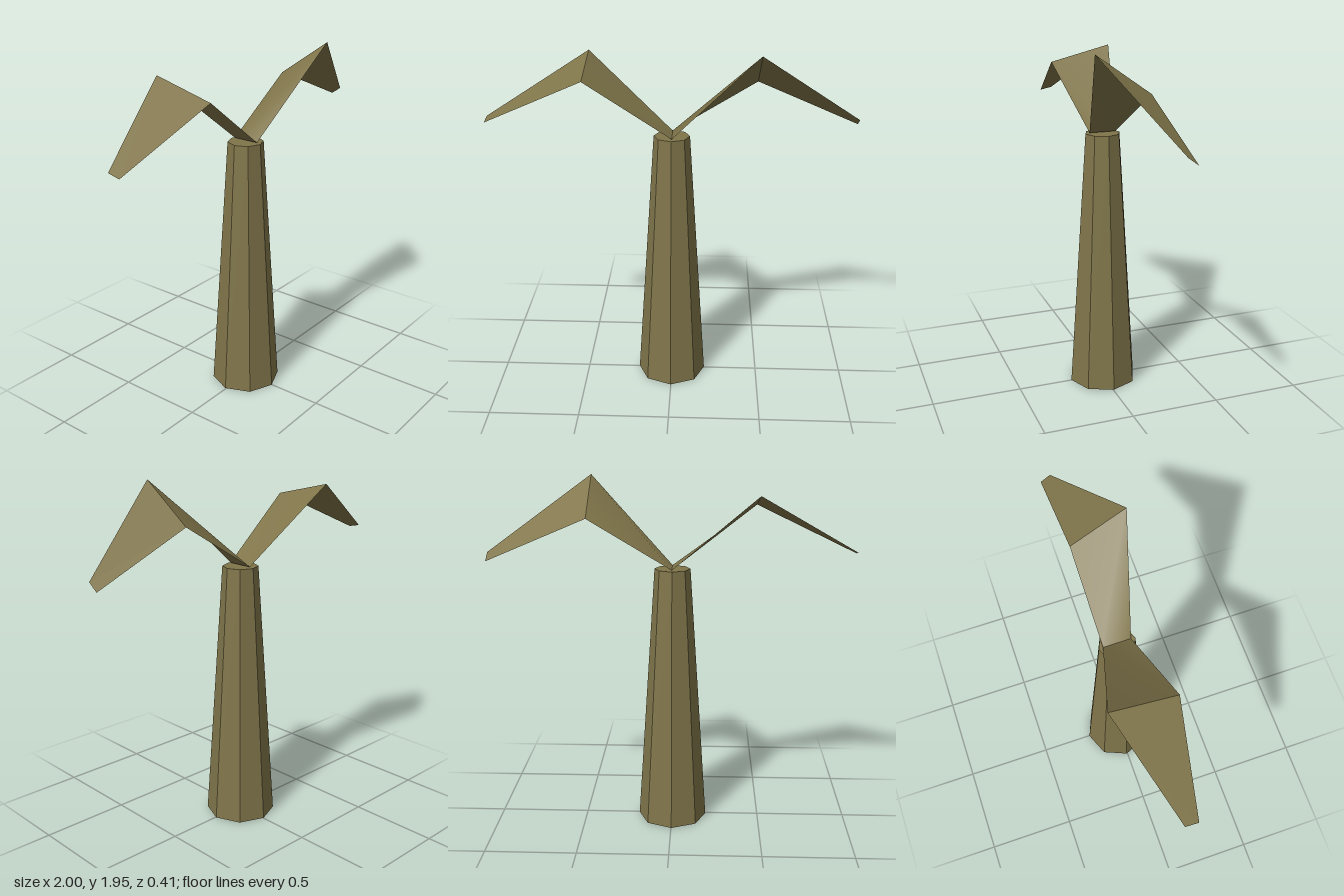
import * as THREE from 'three';

const olive = new THREE.MeshStandardMaterial({ color: 0x80754a, side: THREE.DoubleSide });
olive.name = 'olive brown';
const bark = new THREE.MeshStandardMaterial({ color: 0x80754a, flatShading: true });
bark.name = 'olive bark';

// Frond: a bent sheet given as [back corner, front corner] at base, bend and tip
function frond(name, sections) {
  const positions = [], index = [];
  for (let i = 0; i < sections.length - 1; i++) {
    const [a, b] = sections[i], [c, d] = sections[i + 1], n = i * 4;
    positions.push(...a, ...b, ...d, ...c); // own corners per panel keep the bend sharp
    // wind so the panel faces up on either side of the trunk
    if (d[0] > a[0]) index.push(n, n + 1, n + 2, n, n + 2, n + 3);
    else index.push(n, n + 2, n + 1, n, n + 3, n + 2);
  }
  const geo = new THREE.BufferGeometry();
  geo.setAttribute('position', new THREE.Float32BufferAttribute(positions, 3));
  geo.setIndex(index);
  geo.computeVertexNormals();
  const mesh = new THREE.Mesh(geo, olive);
  mesh.name = name;
  return mesh;
}

export function createModel() {
  const group = new THREE.Group();
  group.name = 'palm';

  // Tapered eight-sided trunk
  const trunk = new THREE.Mesh(new THREE.CylinderGeometry(0.098, 0.194, 1.465, 8), bark);
  trunk.name = 'trunk';
  trunk.position.set(-0.002, 1.465 / 2, -0.005);
  group.add(trunk);

  // Two drooping fronds sharing a base edge on top of the trunk
  const base = [[0, 1.47, -0.08], [0, 1.47, 0.07]];
  group.add(
    frond('leftFrond', [base,
      [[0.455, 1.745, -0.095], [0.455, 1.95, 0.2]],
      [[1, 1.515, -0.095], [1, 1.555, -0.04]]]),
    frond('rightFrond', [base,
      [[-0.46, 1.88, -0.207], [-0.46, 1.795, 0.14]],
      [[-1, 1.56, -0.018], [-1, 1.545, 0.053]]]),
  );
  return group;
}
